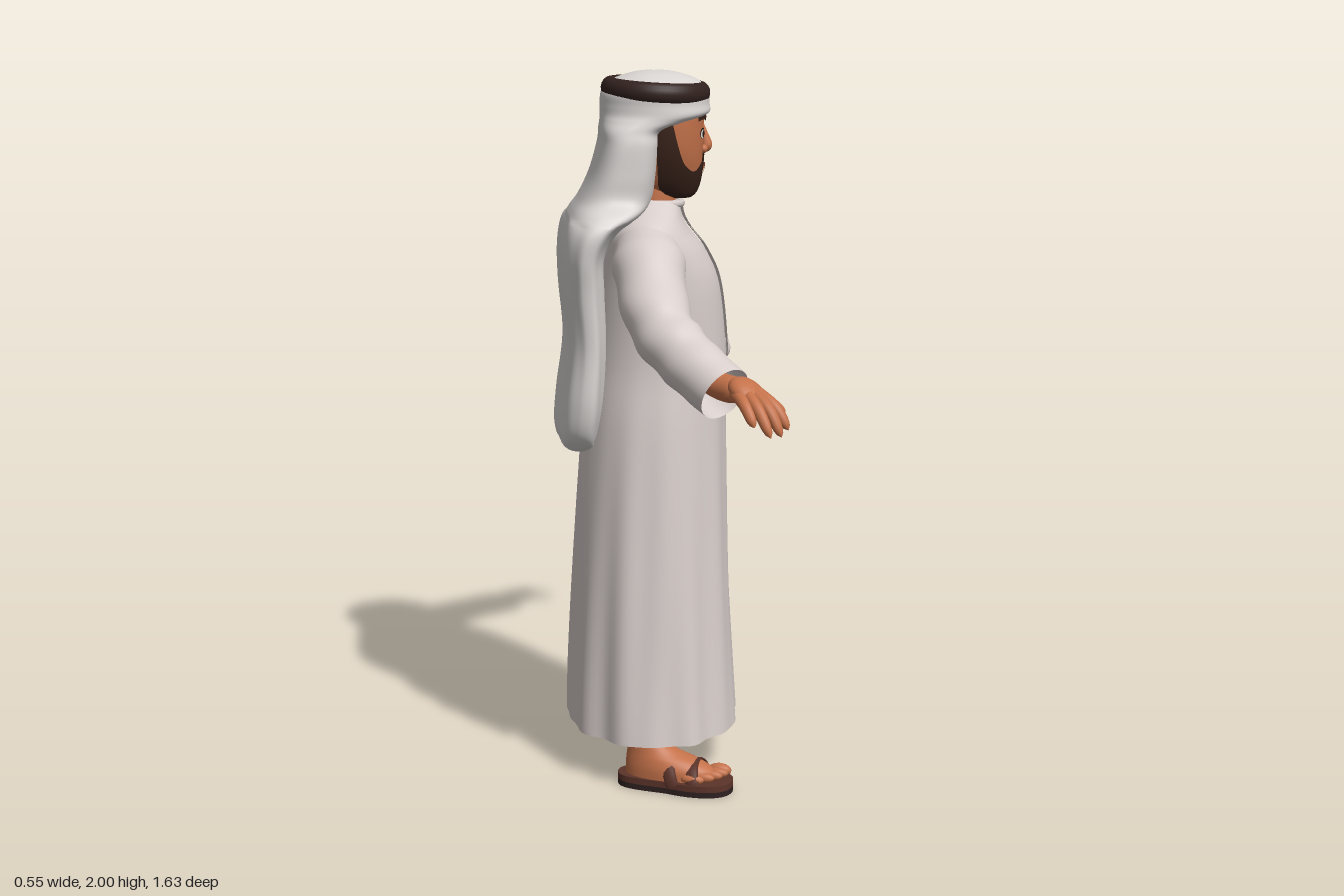
import * as THREE from 'three';

const mat = (name, color, side = THREE.FrontSide) => {
  const m = new THREE.MeshStandardMaterial({ color, side });
  m.name = name;
  return m;
};

// indexed grid of points; wraps around when closed
function grid(rows, cols, fn, closed) {
  const pos = [], idx = [], n = closed ? cols : cols + 1;
  for (let i = 0; i <= rows; i++)
    for (let j = 0; j < n; j++) pos.push(...fn(i / rows, j / cols));
  for (let i = 0; i < rows; i++)
    for (let j = 0; j < cols; j++) {
      const a = i * n + j, b = i * n + (j + 1) % n;
      idx.push(a, b, a + n, b, b + n, a + n);
    }
  const g = new THREE.BufferGeometry();
  g.setAttribute('position', new THREE.Float32BufferAttribute(pos, 3));
  g.setIndex(idx);
  g.computeVertexNormals();
  return g;
}

// smooth value between cross-sections [y, halfWidth, zBack, zFront, squareness]
function sample(secs, t) {
  const f = t * (secs.length - 1), i = Math.min(Math.floor(f), secs.length - 2), u = f - i;
  const at = k => secs[Math.max(0, Math.min(secs.length - 1, k))];
  return [0, 1, 2, 3, 4].map(k => {
    const [p, q, r, s] = [at(i - 1), at(i), at(i + 1), at(i + 2)].map(v => v[k] ?? 1);
    return q + 0.5 * u * (r - p + u * (2 * p - 5 * q + 4 * r - s + u * (3 * (q - r) + s - p)));
  });
}
const pw = (v, e) => Math.sign(v) * Math.abs(v) ** e;
function ringPoint([y, hx, zb, zf, e], a, off = 0) {
  return [(hx + off) * pw(Math.sin(a), e), y, (zb + zf) / 2 + ((zf - zb) / 2 + off) * pw(Math.cos(a), e)];
}
const loft = (secs, rows, cols, fold = () => 0) => grid(rows, cols, (t, u) => {
  const s = sample(secs, t), a = u * Math.PI * 2;
  return ringPoint(s, a, fold(a, s[0]));
}, true);

function atHeight(secs, y) {
  let lo = 0, hi = 1;
  for (let k = 0; k < 24; k++) {
    const m = (lo + hi) / 2;
    if (sample(secs, m)[0] < y) lo = m; else hi = m;
  }
  return sample(secs, lo);
}
// thin patch that follows a lofted surface
const patch = (secs, a0, a1, low, high, off, rows = 8, cols = 20) => grid(rows, cols, (t, u) => {
  const a = a0 + (a1 - a0) * u, y = low(a) + (high(a) - low(a)) * t;
  return ringPoint(atHeight(secs, y), a, off);
}, false);
const oval = (secs, a, y, w, h, off) => {
  const d = v => h * Math.sqrt(Math.max(0, 1 - ((v - a) / w) ** 2));
  return patch(secs, a - w, a + w, v => y - d(v), v => y + d(v), off, 4, 16);
};

// tapering tube through points [x, y, z, radius]
function limb(pts, rows, cols, roundEnd = false, wrinkle = 0) {
  const curve = new THREE.CatmullRomCurve3(pts.map(p => new THREE.Vector3(p[0], p[1], p[2])));
  const fr = curve.computeFrenetFrames(rows, false), P = new THREE.Vector3();
  return grid(rows, cols, (t, u) => {
    const i = Math.round(t * rows), th = u * Math.PI * 2;
    const f = t * (pts.length - 1), k = Math.min(Math.floor(f), pts.length - 2);
    let r = pts[k][3] + (pts[k + 1][3] - pts[k][3]) * (f - k);
    r += wrinkle * Math.sin(t * 34 + 2 * Math.sin(th)) * Math.sin(Math.PI * t);
    if (roundEnd) r *= Math.sqrt(Math.max(0.0001, 1 - Math.max(0, (t - 0.75) / 0.25) ** 2));
    curve.getPoint(t, P).addScaledVector(fr.normals[i], r * Math.cos(th)).addScaledVector(fr.binormals[i], r * Math.sin(th));
    return P.toArray();
  }, true);
}

const ROBE = [[.13, .308, -.25, .24], [.3, .292, -.245, .23], [.6, .267, -.23, .215], [1, .23, -.205, .205],
  [1.2, .207, -.185, .205], [1.4, .212, -.17, .185], [1.5, .22, -.16, .145], [1.56, .22, -.15, .1],
  [1.595, .19, -.13, .08], [1.625, .13, -.1, .073], [1.645, .085, -.075, .068]];
const HEAD = [[1.645, .01, .06, .08], [1.65, .042, .02, .105], [1.675, .07, -.06, .122], [1.72, .095, -.08, .132],
  [1.78, .115, -.09, .137], [1.85, .123, -.09, .139], [1.9, .12, -.09, .138], [1.94, .1, -.08, .11]];
const CLOTH = [[.933, .01, -.225, -.215, .9], [.942, .09, -.255, -.185, .9], [.965, .15, -.27, -.167, .85], [1.01, .195, -.278, -.16, .8],
  [1.1, .215, -.27, -.15, .75], [1.25, .21, -.25, -.145, .7], [1.4, .218, -.262, -.15, .7], [1.5, .232, -.264, -.15, .7],
  [1.57, .235, -.255, -.11, .7], [1.615, .212, -.235, -.04, .7], [1.655, .168, -.21, -.01, .7], [1.72, .163, -.178, 0, .65],
  [1.8, .16, -.155, .01, .65], [1.84, .152, -.152, .025, .72], [1.866, .147, -.15, .105, .85], [1.884, .145, -.15, .153, .95],
  [1.91, .143, -.15, .155], [1.945, .14, -.145, .15], [1.975, .113, -.115, .12], [1.995, .055, -.055, .06], [2, .003, -.003, .003]];
const FOOT = [[.03, .059, -.14, .125], [.06, .059, -.14, .118], [.085, .053, -.138, .075], [.11, .045, -.134, .01],
  [.15, .04, -.128, -.035], [.21, .04, -.12, -.035]];

export function createModel() {
  const robeM = mat('robe white', 0xd8cecb, THREE.DoubleSide), clothM = mat('headcloth white', 0xd9d5d3);
  const skin = mat('skin', 0xc4724a), hair = mat('dark hair', 0x3a231b, THREE.DoubleSide);
  const cordM = mat('cord brown', 0x32221f), leather = mat('sandal leather', 0x5c342a);
  const soleM = mat('sole', 0x2e2120), white = mat('eye white', 0xe8e4e0, THREE.DoubleSide);
  const lipM = mat('lip', 0xa3523e, THREE.DoubleSide), black = mat('pupil', 0x1a1210, THREE.DoubleSide);
  const root = new THREE.Group(), body = new THREE.Group();
  body.name = 'figure';
  root.add(body);
  const add = (name, geo, m, parent = body) => {
    const o = new THREE.Mesh(geo, m);
    o.name = name;
    parent.add(o);
    return o;
  };

  // robe with soft vertical folds that deepen toward the hem
  add('robe', loft(ROBE, 60, 96, (a, y) => {
    const k = Math.max(0, 1 - y / 1.25);
    return k * (0.007 * Math.sin(9 * a + 1.5 * y) + 0.005 * Math.sin(14 * a - 2 * y));
  }), robeM);
  add('placket', patch(ROBE, -.04, .2, () => 1.19, () => 1.635, .006, 30, 4), robeM);
  add('placketEdge', patch(ROBE, .01, .15, () => 1.2, () => 1.635, .009, 30, 4), robeM);
  const collar = add('collar', new THREE.TorusGeometry(.08, .011, 8, 40), robeM);
  collar.rotation.x = Math.PI / 2 + .06;
  collar.position.set(0, 1.637, -.003);
  add('tassel', limb([[.02, 1.24, .208, .006], [.022, 1.21, .213, .01], [.022, 1.185, .212, .007]], 8, 8, true), robeM);

  // head, neck and headcloth
  add('neck', new THREE.CylinderGeometry(.066, .07, .16, 28), skin).position.set(0, 1.66, -.005);
  add('head', loft(HEAD, 32, 48), skin);
  add('headcloth', loft(CLOTH, 120, 72, (a, y) => y < 1.6 && y > .97 ? .004 * Math.sin(6 * a + 3 * y) : 0), clothM);
  const cord = add('headCord', new THREE.TorusGeometry(.127, .025, 16, 64), cordM);
  cord.rotation.x = Math.PI / 2 + .06;
  cord.scale.z = 1.2;
  cord.position.set(0, 1.945, .005);

  // face: moustache and chin meet a low cheek line that climbs to the sideburns
  const beardTop = a => {
    const b = Math.abs(a);
    if (b < .5) return 1.768 - .022 * (b / .5) ** 2;
    if (b < 1.1) return 1.746 - .02 * Math.sin((b - .5) / .6 * Math.PI);
    return 1.746 + .139 * Math.min(1, (b - 1.1) / .4) ** 1.4;
  };
  add('beard', patch(HEAD, -1.8, 1.8, () => 1.648, beardTop, .005, 16, 72), hair);
  add('mouthSkin', oval(HEAD, 0, 1.731, .34, .016, .007), skin);
  add('lips', oval(HEAD, 0, 1.734, .26, .009, .009), lipM);
  add('nose', limb([[0, 1.85, .13, .01], [0, 1.82, .14, .013], [0, 1.79, .147, .018], [0, 1.772, .142, .012]], 16, 14, true), skin);
  for (const s of [-1, 1]) {
    add('noseWing', new THREE.SphereGeometry(.012, 12, 8), skin).position.set(s * .016, 1.782, .138);
    add('eyeLine', oval(HEAD, s * .4, 1.829, .18, .015, .002), black);
    add('eyeWhite', oval(HEAD, s * .4, 1.827, .16, .0125, .003), white);
    add('iris', oval(HEAD, s * .39, 1.827, .085, .011, .004), hair);
    add('pupil', oval(HEAD, s * .39, 1.827, .04, .006, .005), black);
    const arch = a => 1.858 + .01 * Math.sin((Math.abs(a) - .16) / .58 * Math.PI * .8);
    add('eyebrow', patch(HEAD, s * .45 - .29, s * .45 + .29, arch, a => arch(a) + .015, .006, 3, 14), hair);
  }

  for (const s of [-1, 1]) {
    const side = s > 0 ? 'left' : 'right';
    const m = pts => pts.map(([x, ...rest]) => [s * x, ...rest]);

    // sleeve
    add(side + 'Sleeve', limb(m([[.08, 1.52, -.03, .085], [.22, 1.483, -.037, .1], [.42, 1.355, -.025, .086],
      [.53, 1.285, .035, .08], [.645, 1.22, .115, .076]]), 48, 32, false, .0035), robeM);

    // hand
    const hand = new THREE.Group();
    hand.name = side + 'Hand';
    body.add(hand);
    add('wrist', limb(m([[.53, 1.28, .04, .04], [.62, 1.238, .105, .036], [.69, 1.235, .16, .036]]), 12, 18, true), skin, hand);
    const palm = add('palm', new THREE.SphereGeometry(1, 24, 16), skin, hand);
    palm.scale.set(.057, .031, .05);
    palm.position.set(s * .695, 1.234, .165);
    palm.rotation.set(.25, -s * .55, -s * .35);
    const fingers = [
      [[.7, 1.235, .135], [.76, 1.215, .15], [.8, 1.165, .17]],
      [[.705, 1.24, .155], [.77, 1.21, .18], [.815, 1.14, .21]],
      [[.705, 1.238, .175], [.765, 1.205, .21], [.798, 1.138, .24]],
      [[.7, 1.235, .19], [.745, 1.205, .23], [.77, 1.15, .262]],
    ];
    for (const f of fingers)
      add('finger', limb(m(f.map((p, i) => [...p, [.018, .016, .013][i]])), 14, 12, true), skin, hand);
    add('thumb', limb(m([[.665, 1.225, .165, .02], [.668, 1.205, .22, .018], [.675, 1.17, .27, .013]]), 14, 12, true), skin, hand);

    // foot and sandal
    const foot = new THREE.Group();
    foot.name = side + 'Foot';
    foot.position.set(s * .268, 0, .028);
    foot.rotation.y = s * .38;
    body.add(foot);
    add('footAndAnkle', loft(FOOT, 24, 32), skin, foot);
    for (let i = 0; i < 5; i++) {
      const toe = add('toe', new THREE.SphereGeometry(1, 14, 10), skin, foot);
      const r = i ? .014 : .019;
      toe.scale.set(r, r * 1.05, .034);
      toe.position.set(s * (-.041 + i * .0235), .046, .125 - i * i * .0035);
    }
    const outline = new THREE.Shape();
    outline.moveTo(0, -.162);
    outline.bezierCurveTo(.068, -.162, .056, -.06, .064, 0);
    outline.bezierCurveTo(.083, .07, .078, .172, 0, .172);
    outline.bezierCurveTo(-.078, .172, -.083, .07, -.064, 0);
    outline.bezierCurveTo(-.056, -.06, -.068, -.162, 0, -.162);
    for (const [name, y, h, mt] of [['outsole', 0, .016, soleM], ['footbed', .016, .018, leather]]) {
      const g = new THREE.ExtrudeGeometry(outline, { depth: h, bevelEnabled: false, curveSegments: 14 });
      g.rotateX(Math.PI / 2).translate(0, y + h, 0);
      add(name, g, mt, foot);
    }
    for (const [z, h, tilt] of [[.075, 1.02, -.25], [.015, 1.3, -.35]]) {
      const strap = add('strap', new THREE.TorusGeometry(.064, .006, 8, 24, Math.PI), leather, foot);
      strap.scale.set(1.03, h * .9, 3.2);
      strap.rotation.x = tilt;
      strap.position.set(0, .025, z);
    }
  }

  // the figure looks along +x
  body.rotation.y = Math.PI / 2;
  return root;
}
